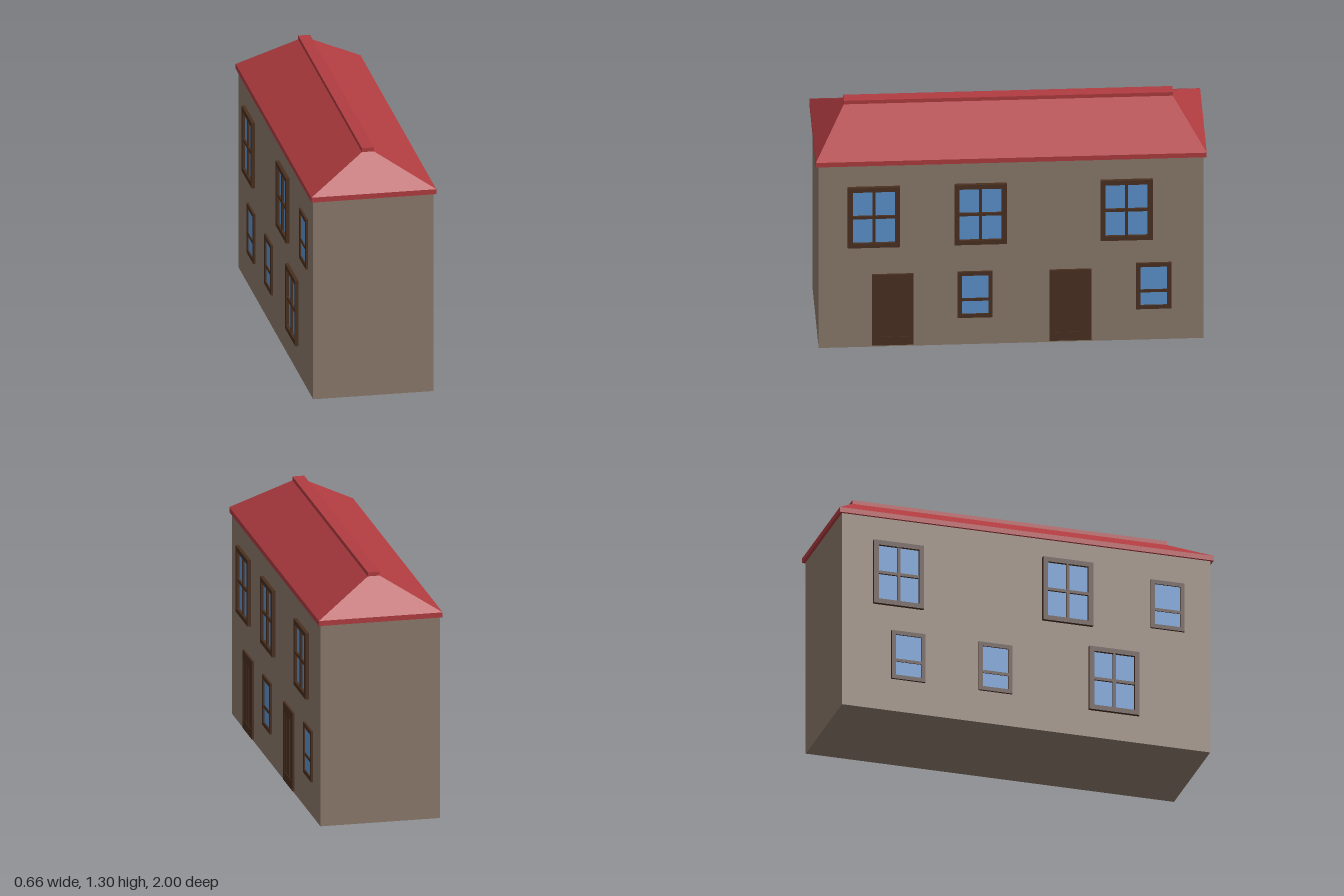
import * as THREE from 'three';

const mat = (color) => new THREE.MeshStandardMaterial({ color, flatShading: true });

export function createModel() {
  const house = new THREE.Group();
  house.name = 'house';
  const wall = mat(0x8b7a6b), roofRed = mat(0xb03c40), wood = mat(0x4a3020), glassBlue = mat(0x5d93cf);

  const add = (parent, name, geometry, material, x = 0, y = 0, z = 0) => {
    const mesh = new THREE.Mesh(geometry, material);
    mesh.name = name;
    mesh.position.set(x, y, z);
    parent.add(mesh);
    return mesh;
  };
  const box = (w, h, d) => new THREE.BoxGeometry(w, h, d);

  // Flat board with rectangular openings [x0, y0, x1, y1]
  const board = (w, h, depth, openings) => {
    const rect = (P, x0, y0, x1, y1) => new P([[x0, y0], [x1, y0], [x1, y1], [x0, y1]]
      .map(([x, y]) => new THREE.Vector2(x, y)));
    const shape = rect(THREE.Shape, -w / 2, 0, w / 2, h);
    openings.forEach((o) => shape.holes.push(rect(THREE.Path, ...o)));
    return new THREE.ExtrudeGeometry(shape, { depth, bevelEnabled: false });
  };

  // Walls
  add(house, 'walls', box(0.626, 1.08, 1.97), wall, 0, 0.54, 0);

  // Hipped roof: eaves slab, tapered slopes and ridge cap
  add(house, 'eaves', box(0.65, 0.027, 2), roofRed, 0, 1.0915, 0);
  const slopes = box(0.65, 0.17, 2);
  const p = slopes.attributes.position;
  for (let i = 0; i < p.count; i++) {
    if (p.getY(i) > 0) {
      p.setX(i, Math.sign(p.getX(i)) * 0.031);
      p.setZ(i, Math.sign(p.getZ(i)) * 0.842);
    }
  }
  slopes.computeVertexNormals();
  add(house, 'roofSlopes', slopes, roofRed, 0, 1.19, 0);
  add(house, 'ridgeCap', box(0.062, 0.022, 1.684), roofRed, 0, 1.285, 0);

  // Places a fitting on a long wall: side is +1 or -1, z its middle, y its foot
  const place = (group, name, side, z, y) => {
    group.name = name;
    group.position.set(side * 0.313, y, z);
    group.rotation.y = side * Math.PI / 2;
    house.add(group);
  };

  const makeWindow = (w, h, depth, border, barY, hasMullion) => {
    const g = new THREE.Group();
    add(g, 'windowFrame', board(w, h, depth, [[-w / 2 + border, border, w / 2 - border, h - border]]), wood);
    add(g, 'glass', box(w - 2 * border, h - 2 * border, 0.004), glassBlue, 0, h / 2, 0.002);
    const barDepth = depth * 0.8;
    add(g, 'crossBar', box(w - 2 * border, 0.016, barDepth), wood, 0, barY, barDepth / 2);
    if (hasMullion) add(g, 'mullion', box(0.016, h - 2 * border, barDepth), wood, 0, h / 2, barDepth / 2);
    return g;
  };
  const largeWindow = (...at) => place(makeWindow(0.268, 0.355, 0.018, 0.026, 0.177, true), 'largeWindow', ...at);
  const smallWindow = (...at) => place(makeWindow(0.18, 0.271, 0.011, 0.022, 0.106, false), 'smallWindow', ...at);

  // Door with three tall sunken panels
  const door = (...at) => {
    const g = new THREE.Group();
    const panels = [-1, 0, 1].map((i) => [i * 0.058 - 0.027, 0.05, i * 0.058 + 0.027, 0.365]);
    add(g, 'doorFrame', board(0.213, 0.418, 0.011, panels), wood);
    add(g, 'doorPanels', box(0.175, 0.32, 0.008), wood, 0, 0.2075, 0.004);
    place(g, 'door', ...at);
  };

  // Entrance side
  largeWindow(1, 0.703, 0.596);
  largeWindow(1, 0.157, 0.598);
  largeWindow(1, -0.59, 0.6);
  smallWindow(1, 0.185, 0.162);
  smallWindow(1, -0.729, 0.186);
  door(1, 0.607, 0.012);
  door(1, -0.303, 0.012);

  // Garden side
  largeWindow(-1, -0.685, 0.59);
  largeWindow(-1, 0.22, 0.62);
  largeWindow(-1, 0.468, 0.15);
  smallWindow(-1, 0.755, 0.657);
  smallWindow(-1, -0.632, 0.18);
  smallWindow(-1, -0.166, 0.18);

  return house;
}
